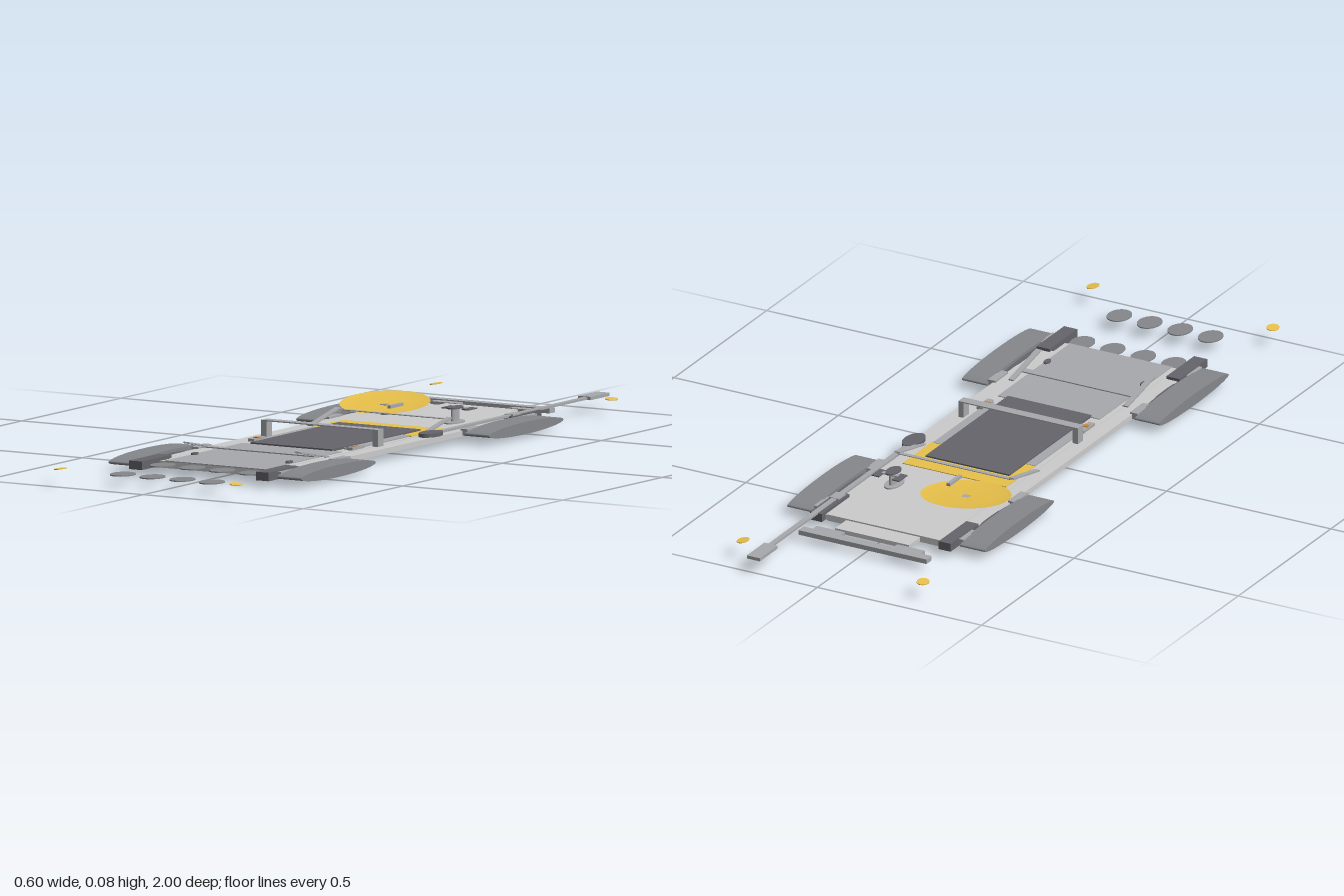
import * as THREE from 'three';

const mat = (color) => new THREE.MeshStandardMaterial({ color, side: THREE.DoubleSide });

export function createModel() {
  const root = new THREE.Group();
  const grey = mat(0xcccccc), mid = mat(0xa8a9ac), tyre = mat(0x85878b);
  const dark = mat(0x66646b), yellow = mat(0xe8c04a), orange = mat(0xd08a2a);

  const add = (name, geo, m, x = 0, y = 0, z = 0) => {
    const mesh = new THREE.Mesh(geo, m);
    mesh.name = name;
    mesh.position.set(x, y, z);
    root.add(mesh);
    return mesh;
  };
  // Box given by its limits on each axis
  const box = (name, m, x0, x1, y0, y1, z0, z1) =>
    add(name, new THREE.BoxGeometry(x1 - x0, y1 - y0, z1 - z0), m,
      (x0 + x1) / 2, (y0 + y1) / 2, (z0 + z1) / 2);
  // Elliptical disc lying flat
  const disc = (name, m, x, y, z, rx, rz, h) =>
    add(name, new THREE.CylinderGeometry(1, 1, h, 28).scale(rx, 1, rz), m, x, y, z);
  // Flat bar from a to b
  const bar = (name, m, a, b, w, h) => {
    const A = new THREE.Vector3(...a), B = new THREE.Vector3(...b);
    const mesh = add(name, new THREE.BoxGeometry(w, h, A.distanceTo(B)), m);
    mesh.position.copy(A).add(B).multiplyScalar(0.5);
    mesh.lookAt(B);
    return mesh;
  };

  // Hull: deck, front panel, tail and side rails
  box('deck', grey, -0.17, 0.17, 0.016, 0.034, -0.64, 0.64);
  box('frontPanel', mid, -0.155, 0.155, 0.033, 0.036, 0.25, 0.64);
  box('tailPlate', grey, -0.11, 0.115, 0.018, 0.03, -0.70, -0.63);
  for (const s of [-1, 1]) {
    const side = (name, m, x0, x1, ...r) =>
      box(name, m, Math.min(s * x0, s * x1), Math.max(s * x0, s * x1), ...r);
    side('sideRail', grey, 0.165, 0.212, 0.018, 0.033, -0.64, 0.58);
    side('frontArm', dark, 0.178, 0.218, 0.018, 0.041, 0.57, 0.72);
    side('rearArm', dark, 0.178, 0.214, 0.018, 0.041, -0.66, -0.51);
    side('sideBox', mid, 0.145, 0.163, 0.03, 0.042, 0.15, 0.21);
    side('marker', orange, 0.145, 0.16, 0.04, 0.044, 0.175, 0.19);
    side('sideStep', mid, 0.125, 0.155, 0.03, 0.037, -0.10, 0.20);
    for (const z of [0.64, 0.36, -0.3, -0.58])
      side('hubBracket', mid, 0.205, 0.228, 0.02, 0.038, z - 0.035, z + 0.035);

    // Wheels, flattened in height
    for (const z of [0.502, -0.442]) {
      const wheel = new THREE.CylinderGeometry(1, 1, 0.076, 32).rotateZ(Math.PI / 2);
      add('wheel', wheel.scale(1, 0.0165, 0.188), tyre, s * 0.263, 0.026, z);
      const hub = new THREE.CylinderGeometry(1, 1, 0.02, 24).rotateZ(Math.PI / 2);
      add('hub', hub.scale(1, 0.008, 0.1), dark, s * 0.22, 0.026, z);
    }

    // Roll bar posts and sloping struts
    side('rollPost', mid, 0.166, 0.182, 0.03, 0.079, 0.085, 0.113);
    bar('rearStrut', mid, [s * 0.174, 0.036, -0.12], [s * 0.174, 0.066, -0.26], 0.016, 0.004);
    bar('frontStrut', mid, [s * 0.174, 0.036, 0.355], [s * 0.174, 0.066, 0.505], 0.016, 0.004);
    disc('frontPeg', dark, s * 0.147, 0.038, 0.503, 0.008, 0.014, 0.006);

    // Corner lamps standing clear of the hull
    for (const z of [0.975, -0.915]) {
      const lamp = disc('cornerLamp', yellow, s * 0.274, z > 0 ? 0.046 : 0.044, z, 0.016, 0.021, 0.002);
      lamp.rotation.z = s * -0.12;
    }
    side('bumperBracket', mid, 0.08, 0.165, 0.02, 0.03, -0.738, -0.71);
  }
  box('rollBar', mid, -0.182, 0.182, 0.076, 0.079, 0.085, 0.113);
  box('rearCrossbar', mid, -0.174, 0.174, 0.062, 0.064, -0.262, -0.25);
  box('frontCrossbar', mid, -0.174, 0.174, 0.043, 0.046, 0.40, 0.422);
  box('rearBumper', mid, -0.20, 0.19, 0.02, 0.033, -0.765, -0.737);

  // Cargo bed and the engine tray with a rim underneath
  box('cargoBed', yellow, -0.155, 0.16, 0.03, 0.036, -0.255, -0.09);
  box('engineTray', dark, -0.128, 0.127, 0.005, 0.04, -0.19, 0.255);
  for (const s of [-1, 1]) {
    box('trayRim', dark, s * 0.1205 - 0.0075, s * 0.1205 + 0.0075, 0, 0.006, -0.19, 0.255);
    const z = 0.0325 + s * 0.215;
    box('trayRim', dark, -0.128, 0.128, 0, 0.006, z - 0.0075, z + 0.0075);
  }

  // Tilted shallow dish
  const dishProfile = [[0, -0.004], [0.06, -0.003], [0.1, -0.001], [0.12, 0.002]]
    .map(([r, y]) => new THREE.Vector2(r, y));
  const dish = add('dish', new THREE.LatheGeometry(dishProfile, 40).scale(1, 1, 1.04), yellow, -0.12, 0.065, -0.41);
  dish.rotation.x = 0.11;
  dish.rotation.z = -0.03;
  box('dishMount', mid, -0.13, -0.11, 0.03, 0.062, -0.42, -0.40);
  box('dishHandle', mid, -0.057, -0.047, 0.066, 0.074, -0.385, -0.32);

  // Camera mast
  disc('mast', mid, 0.115, 0.053, -0.385, 0.008, 0.018, 0.04);
  disc('mastBase', mid, 0.115, 0.036, -0.38, 0.022, 0.04, 0.004);
  disc('cameraHead', dark, 0.115, 0.074, -0.385, 0.018, 0.03, 0.004);
  box('cameraArm', mid, 0.09, 0.138, 0.070, 0.073, -0.41, -0.395);
  for (const x of [0.083, 0.145])
    box('cameraWing', dark, x - 0.011, x + 0.011, 0.068, 0.071, -0.43, -0.385);

  // Long antenna boom along the left side
  box('boom', mid, 0.19, 0.205, 0.038, 0.044, -0.91, -0.1);
  box('boomHead', mid, 0.175, 0.215, 0.037, 0.046, -1, -0.905);
  box('boomJoint', mid, 0.184, 0.212, 0.036, 0.045, -0.56, -0.52);
  disc('boomPivot', dark, 0.2, 0.041, -0.125, 0.026, 0.045, 0.01);

  // Two rows of front lamps
  for (const z of [0.675, 0.875])
    for (const x of [-0.141, -0.048, 0.045, 0.137])
      disc('frontLamp', tyre, x, 0.029, z, 0.032, 0.04, 0.003);

  return root;
}
